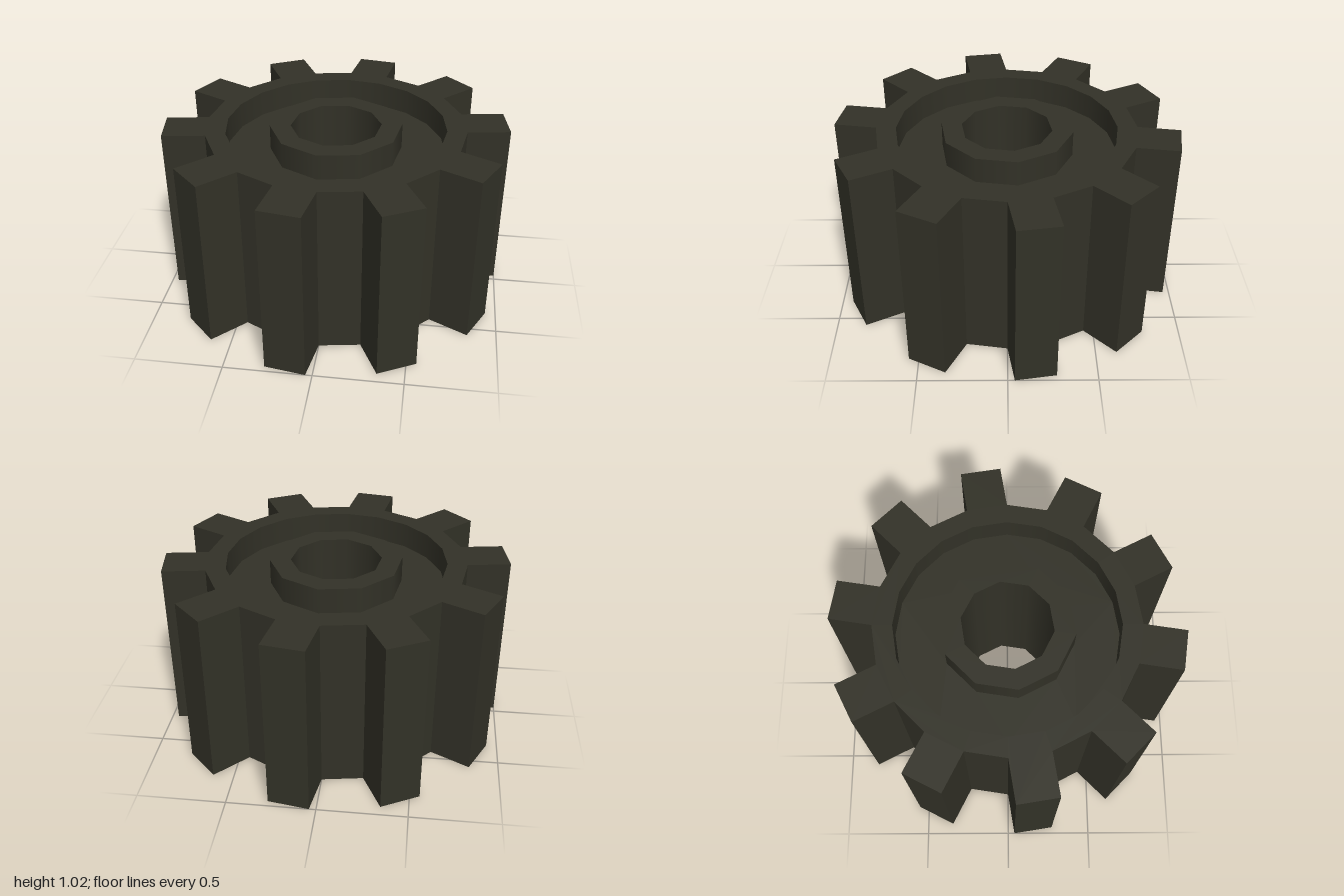
import * as THREE from 'three';

const HEIGHT = 1.02, FLOOR = 0.87;             // gear top, recess floor
const TEETH = 10, ROOT = 0.755, TIP = 0.994;   // root radius, tooth reach
const RECESS = 0.64, HUB = 0.385, BORE = 0.264;
const STEP = Math.PI / TEETH;                  // 18 degrees
const HALF = ROOT * Math.sin(STEP / 2);        // half the tooth width

// Counter-clockwise gear outline with straight-sided teeth
function gearOutline() {
  const pts = [];
  const root = Math.cos(STEP / 2) * ROOT;
  for (let i = 0; i < TEETH; i++) {
    const a = (2 * i + 0.5) * STEP;
    for (const [u, v] of [[root, -HALF], [TIP, -HALF], [TIP, HALF], [root, HALF]]) {
      pts.push(new THREE.Vector2(u, v).rotateAround(new THREE.Vector2(), a));
    }
  }
  return pts;
}

function polygon(radius, sides, start) {
  return Array.from({ length: sides }, (_, i) => {
    const a = start + (i / sides) * Math.PI * 2;
    return new THREE.Vector2(Math.cos(a) * radius, Math.sin(a) * radius);
  });
}

// Flat face with a hole, looking up (dir 1) or down (dir -1)
function cap(outer, hole, y, dir) {
  const flip = (pts) => pts.map((p) => new THREE.Vector2(p.x, p.y * dir));
  const shape = new THREE.Shape(flip(outer));
  shape.holes.push(new THREE.Path(flip(hole)));
  return new THREE.ShapeGeometry(shape).rotateX(-dir * Math.PI / 2).translate(0, y, 0);
}

// Flat-shaded upright walls along an outline
function outlineWall(pts, y0, y1) {
  const pos = [];
  pts.forEach((p, i) => {
    const q = pts[(i + 1) % pts.length];
    const a = [p.x, y0, -p.y], b = [q.x, y0, -q.y], c = [q.x, y1, -q.y], d = [p.x, y1, -p.y];
    pos.push(...a, ...b, ...c, ...a, ...c, ...d);
  });
  const g = new THREE.BufferGeometry();
  g.setAttribute('position', new THREE.Float32BufferAttribute(pos, 3));
  g.computeVertexNormals();
  return g;
}

// Smooth round wall; rising faces outward, falling faces inward
function roundWall(radius, from, to, sides, start) {
  const profile = [new THREE.Vector2(radius, from), new THREE.Vector2(radius, to)];
  return new THREE.LatheGeometry(profile, sides, start + Math.PI / 2);
}

export function createModel() {
  const group = new THREE.Group();
  group.name = 'gear';
  const darkMetal = new THREE.MeshStandardMaterial({ color: 0x323127 });
  darkMetal.name = 'dark olive metal';
  const add = (name, geometry) => {
    const mesh = new THREE.Mesh(geometry, darkMetal);
    mesh.name = name;
    group.add(mesh);
  };

  const outline = gearOutline();
  const recess = polygon(RECESS, 20, 0);
  const hub = polygon(HUB, 10, STEP / 2);
  const bore = polygon(BORE, 10, STEP / 2);

  // Toothed body
  add('toothedSide', outlineWall(outline, 0, HEIGHT));
  add('rimTop', cap(outline, recess, HEIGHT, 1));
  add('underside', cap(outline, bore, 0, -1));

  // Recess round the hub
  add('recessWall', roundWall(RECESS, HEIGHT, FLOOR, 20, 0));
  add('recessFloor', cap(recess, hub, FLOOR, 1));

  // Hub with a through bore
  add('hubSide', roundWall(HUB, FLOOR, HEIGHT, 10, STEP / 2));
  add('hubTop', cap(hub, bore, HEIGHT, 1));
  add('boreWall', roundWall(BORE, HEIGHT, 0, 10, STEP / 2));
  return group;
}
